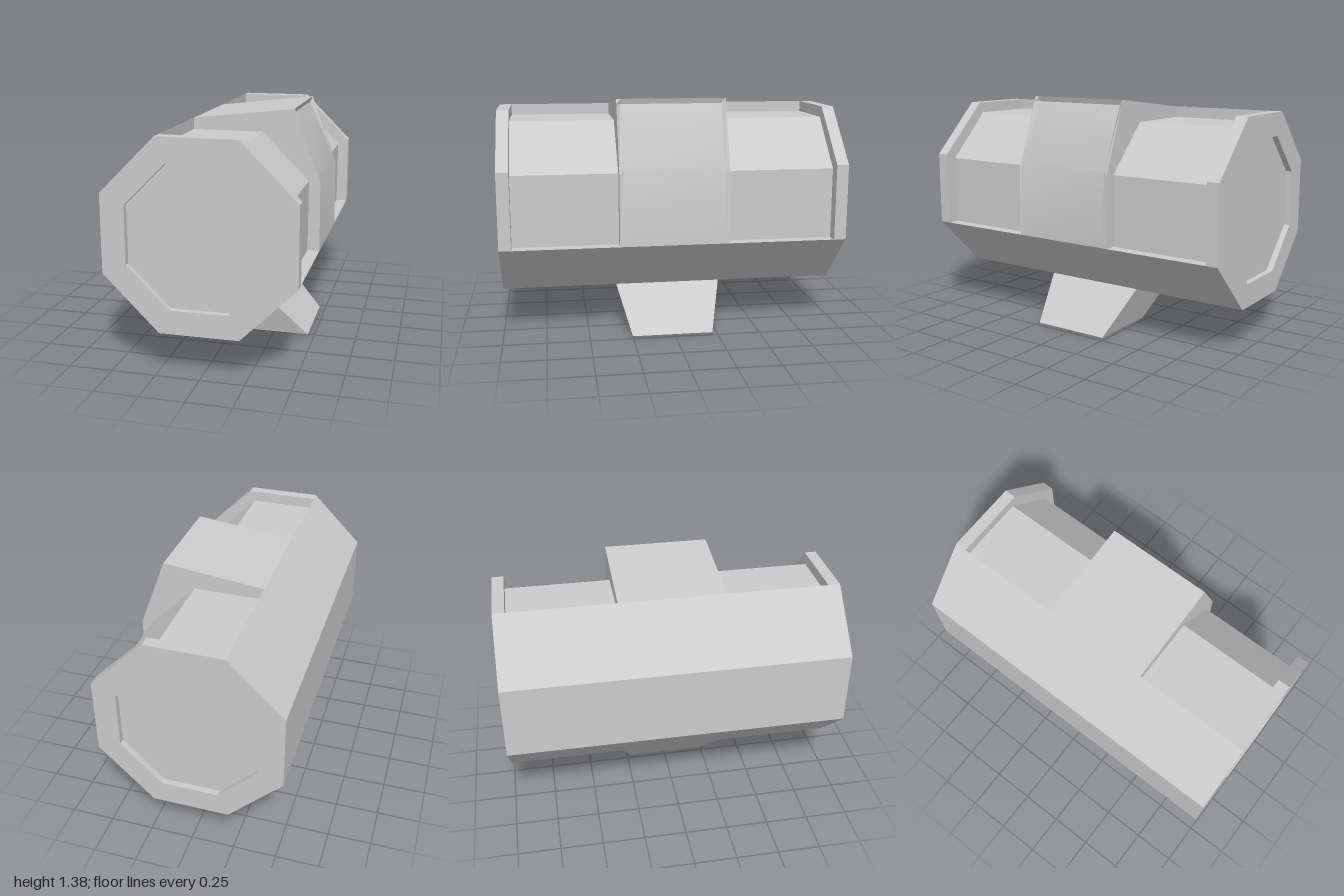
import * as THREE from 'three';
import { toCreasedNormals } from 'three/addons/utils/BufferGeometryUtils.js';

const material = new THREE.MeshStandardMaterial({ color: 0xcccccc, flatShading: true });
const smoothMaterial = new THREE.MeshStandardMaterial({ color: 0xcccccc });
const CY = 0.78; // height of the barrel axis

// Octagon, counter-clockwise: half width a, half flat length b
const octagon = (a, b) => [[-b, -a], [b, -a], [a, -b], [a, b], [b, a], [-b, a], [-a, b], [-a, -b]]
  .map(([x, y]) => new THREE.Vector2(x, y + CY));
const vectors = (list) => list.map(([x, y]) => new THREE.Vector2(x, y));

// Straight prism along z, optionally with a hole
function prism(name, points, z0, z1, hole) {
  const shape = new THREE.Shape(points);
  if (hole) shape.holes.push(new THREE.Path(hole));
  const geometry = new THREE.ExtrudeGeometry(shape, { depth: z1 - z0, bevelEnabled: false });
  geometry.translate(0, 0, z0);
  const mesh = new THREE.Mesh(geometry, material);
  mesh.name = name;
  return mesh;
}

// Solid through matching convex sections, counter-clockwise seen from the first one
function loft(sections) {
  const n = sections[0].length;
  const last = (sections.length - 1) * n;
  const index = [];
  for (let s = 0; s < sections.length - 1; s++) {
    for (let i = 0; i < n; i++) {
      const a = s * n + i, b = s * n + (i + 1) % n;
      index.push(a, a + n, b + n, a, b + n, b);
    }
  }
  for (let i = 1; i < n - 1; i++) {
    index.push(0, i, i + 1, last, last + i + 1, last + i);
  }
  const geometry = new THREE.BufferGeometry();
  geometry.setAttribute('position', new THREE.Float32BufferAttribute(sections.flat(2), 3));
  geometry.setIndex(index);
  return toCreasedNormals(geometry, 0.5);
}

export function createModel() {
  const model = new THREE.Group();
  const outer = octagon(0.53, 0.22);
  const inner = octagon(0.395, 0.163);

  // End collars with sunken end plates
  for (const [side, z0, z1, p0, p1] of [
    ['front', 0.93, 1, 0.93, 0.965],
    ['back', -1, -0.93, -0.965, -0.93],
  ]) {
    model.add(prism(side + 'Collar', outer, z0, z1, inner));
    model.add(prism(side + 'EndPlate', inner, p0, p1));
  }

  // Barrel sections, cut back on the top and left faces
  const cutBack = vectors([
    [-0.22, 0.25], [0.22, 0.25], [0.53, 0.56], [0.46, 0.56], [0.46, 0.97],
    [0.19, 1.245], [-0.22, 1.245], [-0.22, 1.31], [-0.53, 1], [-0.53, 0.56],
  ]);
  model.add(prism('frontBarrel', cutBack, 0.325, 0.93));
  model.add(prism('backBarrel', cutBack, -0.93, -0.305));

  // Raised middle block with a shallow sunken panel in its sloping face
  const block = (z, panel) => [
    [-0.22, 0.25], [0.22, 0.25], [0.53, 0.56], ...panel,
    [0.37, 1.38], [-0.22, 1.31], [-0.53, 1], [-0.53, 0.56],
  ].map(([x, y]) => [x, y, z]);
  const rim = [[0.526, 0.965], [0.381, 1.35]];
  const sunken = [[0.515, 0.995], [0.36, 1.35]];
  const middle = new THREE.Mesh(loft([
    block(0.325, rim), block(0.3, sunken), block(-0.28, sunken), block(-0.305, rim),
  ]), smoothMaterial);
  middle.name = 'middleBlock';
  model.add(middle);

  // Slanted, tapering foot
  const slab = (y, x0, x1, z0, z1) => [[x0, y, z1], [x1, y, z1], [x1, y, z0], [x0, y, z0]];
  const foot = new THREE.Mesh(loft([
    slab(0.25, -0.22, 0.22, -0.305, 0.325),
    slab(0, 0.025, 0.46, -0.225, 0.25),
  ]), smoothMaterial);
  foot.name = 'foot';
  model.add(foot);

  return model;
}
